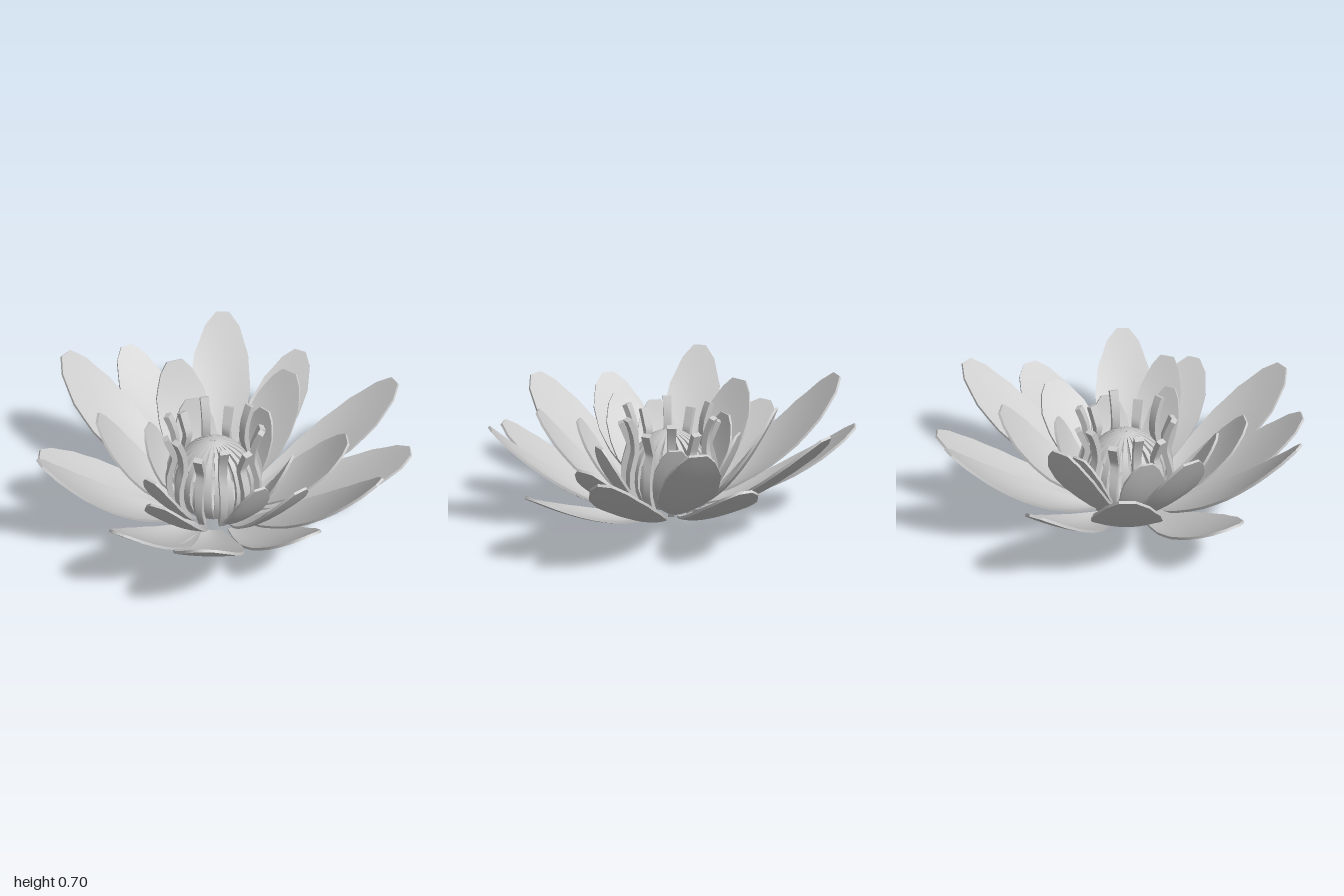
import * as THREE from 'three';
import { toCreasedNormals } from 'three/addons/utils/BufferGeometryUtils.js';

const CENTRE = [-0.035, 0];

// Piecewise-linear lookup in [[t, value], ...]
function lookup(table, t) {
  for (let i = 1; i < table.length; i++) {
    const [t0, v0] = table[i - 1], [t1, v1] = table[i];
    if (t <= t1) return v0 + (v1 - v0) * (t - t0) / (t1 - t0);
  }
  return table[table.length - 1][1];
}

// Closed, cupped strip swept along a curve in the local x/y plane; its width lies along z
function sweep(curve, stations, across, halfWidth, cup, thickness, crease) {
  const pos = [], idx = [], n = (across + 1) * 2;
  const addRing = (t, flat) => {
    const p = curve.getPoint(t), d = curve.getTangent(t);
    const w = halfWidth(t);
    for (let j = 0; j < n; j++) {
      const top = j <= across;
      const u = (top ? j : n - 1 - j) / across * 2 - 1;
      const lift = flat ? 0 : cup * (1 - t) * w * u * u + (top ? 0.5 : -0.5) * thickness;
      pos.push(p.x - d.y * lift, p.y + d.x * lift, flat ? 0 : u * w);
    }
  };
  addRing(stations[0], true);
  stations.forEach((t) => addRing(t, false));
  addRing(stations[stations.length - 1], true);
  for (let i = 0; i < stations.length + 1; i++) {
    for (let j = 0; j < n; j++) {
      const k = (j + 1) % n;
      const a = i * n + j, b = i * n + k, c = (i + 1) * n + k, d = (i + 1) * n + j;
      if (i > 0) idx.push(a, b, d);
      else idx.push(a, c, d);
      if (i > 0 && i < stations.length) idx.push(b, c, d);
    }
  }
  const g = new THREE.BufferGeometry();
  g.setAttribute('position', new THREE.Float32BufferAttribute(pos, 3));
  g.setIndex(idx);
  return toCreasedNormals(g, crease);
}

const PETAL_WIDTH = [[0, 0.25], [0.2, 0.6], [0.42, 0.9], [0.6, 1], [0.78, 0.9], [0.93, 0.58], [1, 0.22]];
const BROAD_WIDTH = [[0, 0.35], [0.2, 0.7], [0.42, 0.97], [0.6, 1], [0.78, 0.92], [0.92, 0.65], [1, 0.3]];
const PETAL_STATIONS = [0, 0.1, 0.2, 0.31, 0.42, 0.51, 0.6, 0.69, 0.78, 0.85, 0.93, 1];

export function createModel() {
  const model = new THREE.Group();
  const material = new THREE.MeshStandardMaterial({ color: 0xcccccc, side: THREE.DoubleSide });

  const place = (geometry, name, angle, parent) => {
    const mesh = new THREE.Mesh(geometry, material);
    mesh.name = name;
    mesh.rotation.y = -angle;
    mesh.position.set(CENTRE[0], 0, CENTRE[1]);
    parent.add(mesh);
  };

  // Each petal: tip x, tip height, tip z, full width
  const rings = [
    { name: 'outerPetal', r: 0.22, y: 0.032, sag: 0.24, cup: 0.26, profile: PETAL_WIDTH, tips: [
      [-0.2, 0.7, -1, 0.37], [0.26, 0.55, -0.98, 0.32], [0.78, 0.68, -0.67, 0.36], [0.98, 0.5, -0.22, 0.32],
      [0.99, 0.58, 0.47, 0.34], [0.69, 0.41, 0.81, 0.36], [0.14, 0.6, 0.99, 0.34], [-0.31, 0.48, 0.91, 0.33],
      [-0.85, 0.59, 0.69, 0.37], [-0.99, 0.53, 0.24, 0.34], [-0.99, 0.68, -0.34, 0.34], [-0.7, 0.4, -0.7, 0.36]] },
    { name: 'middlePetal', r: 0.21, y: 0.05, sag: 0.25, cup: 0.24, profile: BROAD_WIDTH, tips: [
      [0.22, 0.65, -0.54, 0.32], [-0.45, 0.62, -0.48, 0.32], [-0.68, 0.5, 0.2, 0.29],
      [-0.17, 0.58, 0.72, 0.27], [0.49, 0.46, 0.52, 0.32], [0.66, 0.58, -0.04, 0.32]] },
    { name: 'innerPetal', r: 0.19, y: 0.06, sag: 0.24, cup: 0.2, profile: BROAD_WIDTH, tips: [
      [-0.2, 0.5, -0.35, 0.24], [0.16, 0.5, -0.35, 0.25], [-0.54, 0.49, 0.01, 0.24],
      [0.36, 0.5, 0.03, 0.23], [0.14, 0.46, 0.41, 0.23], [-0.22, 0.5, 0.49, 0.21]] },
  ];
  for (const { name, r, y, sag, cup, profile, tips } of rings) {
    const group = new THREE.Group();
    group.name = name + 's';
    for (const [tx, ty, tz, width] of tips) {
      const dx = tx - CENTRE[0], dz = tz - CENTRE[1], reach = Math.hypot(dx, dz);
      // The ring of petal bases dips slightly towards the front
      const baseY = y + r / reach * (0.04 * dx - 0.09 * dz);
      const curve = new THREE.QuadraticBezierCurve(
        new THREE.Vector2(r, baseY),
        new THREE.Vector2((r + reach) / 2 + 0.02, baseY + (ty - baseY) * sag),
        new THREE.Vector2(reach, ty));
      const half = (t) => width / 2 * lookup(profile, t);
      place(sweep(curve, PETAL_STATIONS, 6, half, cup, 0.014, 0.9), name, Math.atan2(dz, dx), group);
    }
    model.add(group);
  }

  // Stamens: the outer ones flare at the tip, the inner ones close over the centre as a dome
  const spline = (pts) => new THREE.SplineCurve(pts.map(([x, y]) => new THREE.Vector2(x, y)));
  const steps = Array.from({ length: 11 }, (_, i) => i / 10);
  const stamens = new THREE.Group();
  stamens.name = 'stamens';
  const innerPath = spline([[0.17, 0.07], [0.215, 0.18], [0.205, 0.3], [0.15, 0.4], [0.07, 0.455], [0.005, 0.47]]);
  const inner = sweep(innerPath, steps, 1, (t) => 0.027 * (1 - t) + 0.003, 0, 0.016, 0.5);
  const outer = [0.59, 0.53].map((top) => sweep(
    spline([[0.2, 0.05], [0.25, 0.16], [0.255, 0.28], [0.225, 0.39], [0.235, top - 0.09], [0.27, top]]),
    steps, 1, (t) => 0.018 + 0.007 * t, 0, 0.032, 0.5));
  for (let i = 0; i < 12; i++) place(outer[i % 2], 'outerStamen', (i + 0.2) / 12 * Math.PI * 2, stamens);
  for (let i = 0; i < 22; i++) place(inner, 'innerStamen', i / 22 * Math.PI * 2, stamens);
  model.add(stamens);

  // Low domed receptacle closing the middle
  const dome = [[0.18, 0.09], [0.14, 0.115], [0.08, 0.13], [0, 0.135]].map(([x, y]) => new THREE.Vector2(x, y));
  place(new THREE.LatheGeometry(dome, 22), 'receptacle', 0, model);

  return model;
}
